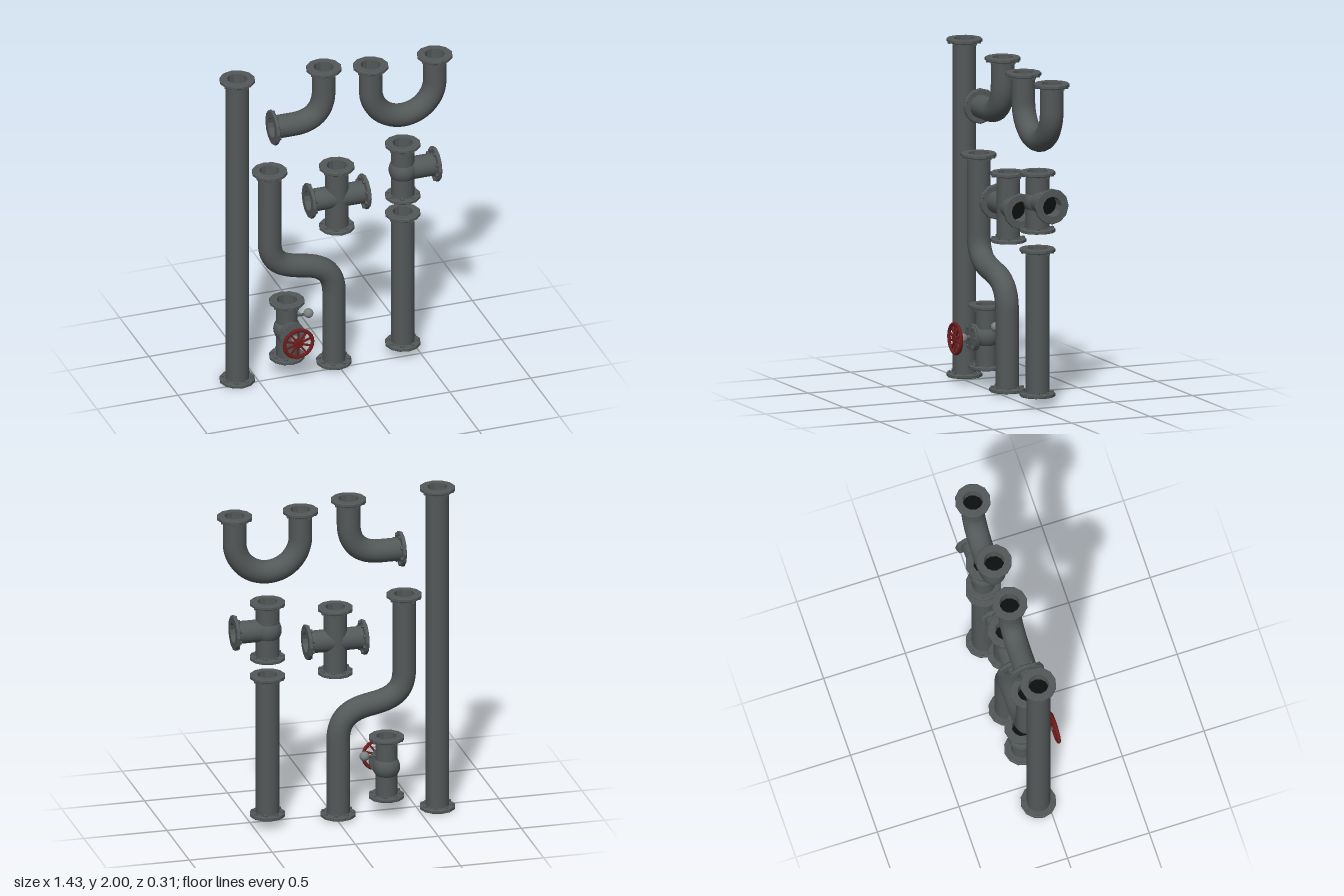
import * as THREE from 'three';
import { toCreasedNormals } from 'three/addons/utils/BufferGeometryUtils.js';

const Z = -0.052; // plane shared by all pipe axes
const R = 0.069; // pipe radius
const V = (x, y, z = Z) => new THREE.Vector3(x, y, z);
const UP = V(0, 1, 0), DOWN = V(0, -1, 0), LEFT = V(1, 0, 0), RIGHT = V(-1, 0, 0), FRONT = V(0, 0, 1);

function material(name, color) {
  const m = new THREE.MeshStandardMaterial({ color });
  m.name = name;
  return m;
}

export function createModel() {
  const iron = material('dark iron', 0x535859);
  const steel = material('pale steel', 0x7c8282);
  const red = material('wheel red', 0x701c1c);
  const black = material('bore black', 0x0d0e0e);
  const model = new THREE.Group();
  model.name = 'pipeKit';

  function add(parent, name, geometry, mat, x = 0, y = 0, z = 0) {
    const mesh = new THREE.Mesh(geometry, mat);
    mesh.name = name;
    mesh.position.set(x, y, z);
    parent.add(mesh);
    return mesh;
  }
  function group(name, parent = model) {
    const g = new THREE.Group();
    g.name = name;
    parent.add(g);
    return g;
  }
  const lathe = (points, sides, crease = 0.45) => toCreasedNormals(
    new THREE.LatheGeometry(points.map(p => new THREE.Vector2(...p)), sides), crease);

  // Flange: ring plate with a short bore, its outer face at y = 0
  const plateGeo = lathe([[0.06, -0.022], [0.1, -0.022], [0.105, -0.018], [0.105, -0.003],
    [0.102, 0], [0.06, 0], [0.06, -0.08]], 12);
  const capGeo = new THREE.CircleGeometry(0.061, 16).rotateX(-Math.PI / 2);
  const boltGeo = toCreasedNormals(new THREE.CylinderGeometry(0.011, 0.011, 0.011, 6), 0.4);

  function flange(parent, pos, dir) {
    const f = group('flange', parent);
    f.position.copy(pos);
    f.quaternion.setFromUnitVectors(UP, dir);
    add(f, 'flangePlate', plateGeo, iron);
    add(f, 'boreEnd', capGeo, black, 0, -0.079, 0);
    for (let i = 0; i < 8; i++) {
      const a = (i + 0.5) * Math.PI / 4;
      add(f, 'flangeBolt', boltGeo, iron, 0.087 * Math.cos(a), -0.027, 0.087 * Math.sin(a));
    }
  }

  // Pipe wall swept along joined curves
  function pipe(parent, curves, segments, radius = R) {
    const path = new THREE.CurvePath();
    curves.forEach(c => path.add(c));
    add(parent, 'pipeWall', new THREE.TubeGeometry(path, segments, radius, 18), iron);
  }
  const line = (a, b) => new THREE.LineCurve3(a, b);
  const bend = (a, b, c, d) => new THREE.CubicBezierCurve3(a, b, c, d);

  function straight(parent, x, y0, y1, radius = R) {
    pipe(parent, [line(V(x, y0 + 0.01), V(x, y1 - 0.01))], 1, radius);
    flange(parent, V(x, y0), DOWN);
    flange(parent, V(x, y1), UP);
  }

  // Straight pipes
  straight(group('longPipe'), -0.615, 0, 2);
  straight(group('shortPipe'), 0.408, 0.055, 0.932);

  // Elbow
  const elbow = group('elbowPipe');
  pipe(elbow, [
    line(V(-0.395, 1.635), V(-0.27, 1.635)),
    bend(V(-0.27, 1.635), V(-0.15, 1.635), V(-0.08, 1.695), V(-0.08, 1.83)),
    line(V(-0.08, 1.83), V(-0.08, 1.97)),
  ], 40);
  flange(elbow, V(-0.405, 1.635), RIGHT);
  flange(elbow, V(-0.08, 1.98), UP);

  // U bend
  const u = group('uBendPipe');
  const k = 0.198 * 0.552;
  pipe(u, [
    line(V(0.21, 1.93), V(0.21, 1.77)),
    bend(V(0.21, 1.77), V(0.21, 1.77 - k), V(0.408 - k, 1.572), V(0.408, 1.572)),
    bend(V(0.408, 1.572), V(0.408 + k, 1.572), V(0.606, 1.77 - k), V(0.606, 1.77)),
    line(V(0.606, 1.77), V(0.606, 1.93)),
  ], 60);
  flange(u, V(0.21, 1.94), UP);
  flange(u, V(0.606, 1.94), UP);

  // Offset pipe with two opposing bends
  const offset = group('offsetPipe');
  pipe(offset, [
    line(V(-0.415, 1.345), V(-0.415, 0.88)),
    bend(V(-0.415, 0.88), V(-0.415, 0.745), V(-0.34, 0.71), V(-0.216, 0.688)),
    bend(V(-0.216, 0.688), V(-0.09, 0.666), V(-0.017, 0.62), V(-0.017, 0.475)),
    line(V(-0.017, 0.475), V(-0.017, 0.025)),
  ], 90);
  flange(offset, V(-0.415, 1.355), UP);
  flange(offset, V(-0.017, 0.012), DOWN);

  // Four-way cross
  const cross = group('crossFitting');
  straight(cross, 0, 0.9, 1.314);
  pipe(cross, [line(V(-0.17, 1.108), V(0.17, 1.108))], 1, 0.067);
  flange(cross, V(-0.18, 1.108), RIGHT);
  flange(cross, V(0.18, 1.108), LEFT);

  // Tee with a swollen middle
  const tee = group('teeFitting');
  straight(tee, 0.408, 1.028, 1.387);
  add(tee, 'teeBulge', new THREE.SphereGeometry(0.083, 20, 14), iron, 0.408, 1.21, Z);
  pipe(tee, [line(V(0.408, 1.21), V(0.607, 1.21))], 1, 0.067);
  flange(tee, V(0.617, 1.21), LEFT);

  // Valve body
  const valve = group('valve');
  const vx = -0.308, vy = 0.289;
  straight(valve, vx, 0.098, 0.48, 0.064);
  add(valve, 'valveBulge', new THREE.SphereGeometry(0.08, 20, 14), iron, vx, vy, Z);

  // Bonnet with a pair of plates, and the stem
  const bonnet = group('bonnet', valve);
  bonnet.position.set(vx, vy, 0);
  bonnet.quaternion.setFromUnitVectors(UP, FRONT);
  add(bonnet, 'bonnetPlates', lathe([[0.058, -0.05], [0.058, 0.022], [0.08, 0.022], [0.08, 0.034],
    [0.06, 0.034], [0.06, 0.039], [0.08, 0.039], [0.08, 0.05], [0.03, 0.054], [0, 0.056]], 16), iron);
  add(bonnet, 'stem', new THREE.CylinderGeometry(0.011, 0.014, 0.1, 10), iron, 0, 0.1, 0);
  add(bonnet, 'stemGland', lathe([[0, 0.072], [0.016, 0.075], [0.026, 0.09], [0.026, 0.105],
    [0.016, 0.12], [0, 0.122]], 10, 0.7), steel);
  for (let i = 0; i < 6; i++) {
    const a = i * Math.PI / 3;
    add(bonnet, 'bonnetBolt', boltGeo, iron, 0.064 * Math.cos(a), 0.054, 0.064 * Math.sin(a));
  }

  // Hand wheel
  const wheel = group('handWheel', valve);
  wheel.position.set(vx, vy, 0.147);
  add(wheel, 'wheelRim', new THREE.TorusGeometry(0.087, 0.011, 8, 28), red);
  const hubGeo = toCreasedNormals(new THREE.CylinderGeometry(0.026, 0.03, 0.022, 16).rotateX(Math.PI / 2), 0.6);
  add(wheel, 'wheelHub', hubGeo, red);
  const spokeGeo = new THREE.BoxGeometry(0.011, 0.07, 0.009).translate(0, 0.053, 0);
  for (let i = 0; i < 10; i++) add(wheel, 'wheelSpoke', spokeGeo, red).rotation.z = i * Math.PI / 5;

  // Side knob on a thin arm
  add(valve, 'knob', new THREE.SphereGeometry(0.029, 16, 12), steel, -0.175, 0.365, Z);
  add(valve, 'knobArm', new THREE.CylinderGeometry(0.008, 0.008, 0.1, 8).rotateZ(Math.PI / 2), iron, -0.235, 0.362, Z);

  return model;
}
